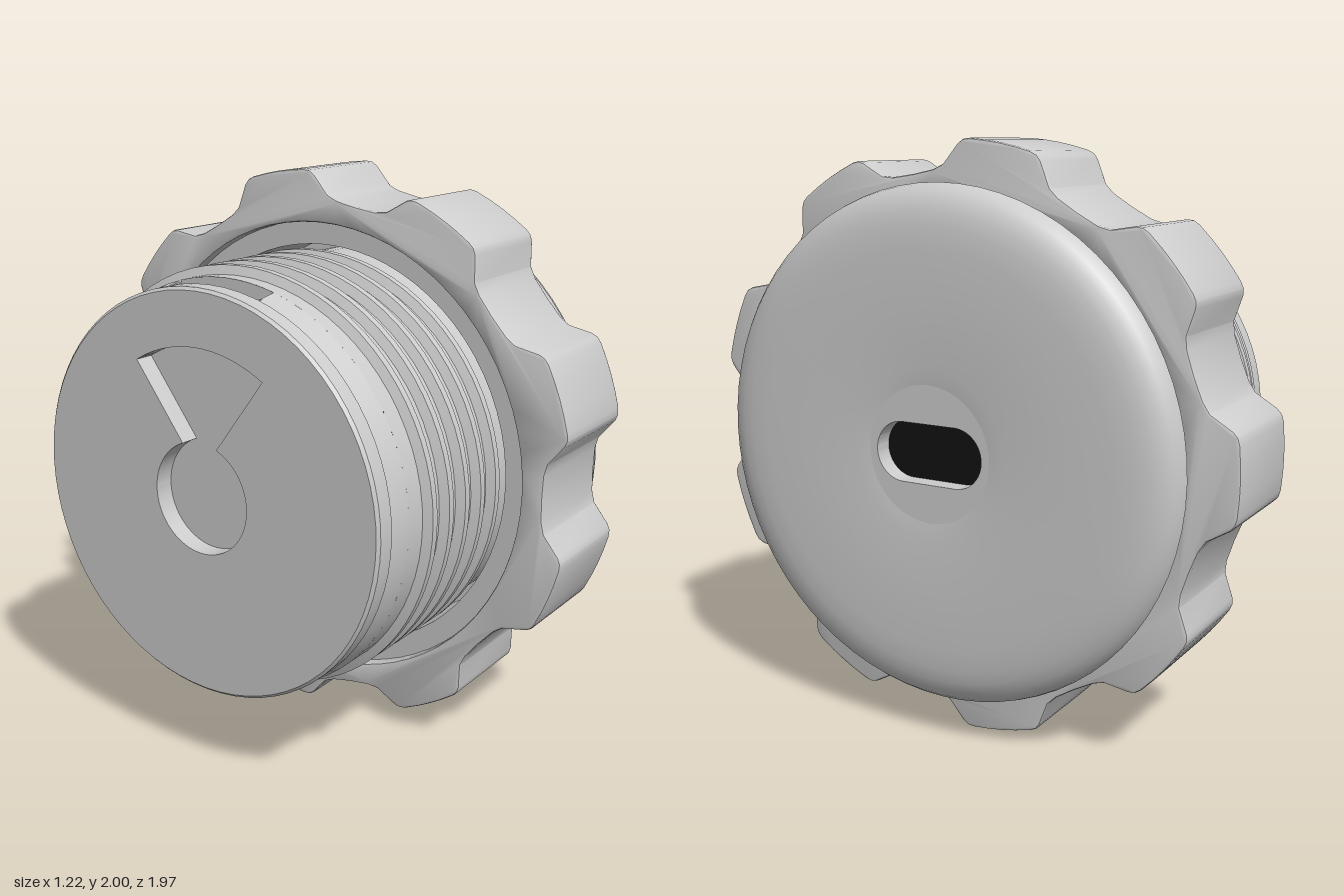
import * as THREE from 'three';
import { toCreasedNormals } from 'three/addons/utils/BufferGeometryUtils.js';

const grey = new THREE.MeshStandardMaterial({ color: 0xcccccc });
const dark = new THREE.MeshStandardMaterial({ color: 0x111111 });
const rad = THREE.MathUtils.degToRad;

// Turned part about the x axis; profile points are [x, radius]
function turned(points, start = 0, length = Math.PI * 2, segments = 72) {
  const profile = points.map(([x, r]) => new THREE.Vector2(r, x));
  const geo = new THREE.LatheGeometry(profile, segments, start, length);
  geo.rotateZ(-Math.PI / 2);
  return toCreasedNormals(geo, rad(28));
}

// Flat shape (drawn as seen from +x) extruded along x from x0 to x1
function plate(shape, x0, x1, bevel = 0) {
  const geo = new THREE.ExtrudeGeometry(shape, {
    depth: x1 - x0 - 2 * bevel, curveSegments: 36, bevelEnabled: bevel > 0,
    bevelThickness: bevel, bevelSize: bevel, bevelOffset: -bevel, bevelSegments: 2,
  });
  geo.rotateY(Math.PI / 2).translate(x0 + bevel, 0, 0);
  return toCreasedNormals(geo, rad(28));
}

const circle = (Type, r) => new Type().absarc(0, 0, r, 0, Math.PI * 2, false);

// Helical ridge with a trapezoid section, fading in and out at its ends
function threadGeometry(from, to, pitch, x0) {
  const section = [[-0.028, 0], [-0.013, 1], [0.013, 1], [0.028, 0]];
  const steps = Math.round((to - from) * 72);
  const pos = [], index = [];
  for (let i = 0; i <= steps; i++) {
    const turn = from + (to - from) * i / steps;
    const a = turn * Math.PI * 2;
    const fade = Math.min(1, i / 10, (steps - i) / 10);
    for (const [dx, h] of section) {
      const r = 0.695 + 0.035 * h * fade;
      pos.push(x0 + pitch * turn + dx, r * Math.cos(a), r * Math.sin(a));
    }
    if (i === steps) break;
    for (let j = 0; j < 3; j++) {
      const p = i * 4 + j;
      index.push(p, p + 4, p + 1, p + 4, p + 5, p + 1);
    }
  }
  const geo = new THREE.BufferGeometry();
  geo.setAttribute('position', new THREE.Float32BufferAttribute(pos, 3));
  geo.setIndex(index);
  return toCreasedNormals(geo, rad(28));
}

// Nine-lobed grip outline, one lobe pointing to the shape's +x
function gripShape() {
  const lobe = [[-15, 0.903], [-12.5, 0.918], [-9, 0.983], [-7.9, 0.996], [-6.5, 1], [-3, 1], [0, 1],
    [3, 1], [6.5, 1], [7.9, 0.996], [9, 0.983], [12.5, 0.918], [15, 0.903], [20, 0.897]];
  const pts = [];
  for (let i = 0; i < 9; i++) {
    for (const [deg, r] of lobe) {
      const a = rad(i * 40 + deg);
      pts.push(new THREE.Vector2(r * Math.cos(a), r * Math.sin(a)));
    }
  }
  const shape = new THREE.Shape(pts);
  shape.holes.push(circle(THREE.Path, 0.82));
  return shape;
}

export function createModel() {
  const model = new THREE.Group();
  model.name = 'threadedPlug';
  model.position.set(0, 1, 0.013);
  const add = (name, geo, mat = grey, parent = model) => {
    const mesh = new THREE.Mesh(geo, mat);
    mesh.name = name;
    parent.add(mesh);
    return mesh;
  };

  // Threaded barrel: end rim, band interrupted by a pocket on top, main tube
  const top = Math.PI * 1.5, half = 0.275;
  add('endRim', turned([[-0.61, 0.68], [-0.6, 0.69], [-0.54, 0.69]]));
  add('barrelBand', turned([[-0.54, 0.685], [-0.46, 0.7]], top + half, Math.PI * 2 - 2 * half, 66));
  add('latchPocket', turned([[-0.54, 0.69], [-0.54, 0.62], [-0.46, 0.62], [-0.46, 0.7]],
    top - half, 2 * half, 8));
  for (const side of [-1, 1]) {
    const holder = new THREE.Group();
    holder.name = 'pocketWall';
    holder.rotation.x = side * (half + 0.004);
    model.add(holder);
    add('pocketSide', new THREE.BoxGeometry(0.08, 0.07, 0.005), grey, holder).position.set(-0.5, 0.654, 0);
  }
  add('barrel', turned([[-0.46, 0.7], [0.51, 0.7]]));
  add('thread', threadGeometry(-4.6, 1, 0.1, 0.02));

  // End cap with a keyhole-shaped recess
  const cap = circle(THREE.Shape, 0.68);
  const key = new THREE.Path();
  const neck = Math.atan2(0.177, 0.07), fan = Math.atan2(0.43, 0.26);
  key.absarc(0, 0, 0.19, neck, Math.PI - neck, true);
  key.absarc(0, 0, 0.5, Math.PI - fan, fan, true);
  key.closePath();
  cap.holes.push(key);
  add('endCap', plate(cap, -0.61, -0.54));
  const floor = new THREE.CircleGeometry(0.6, 48);
  floor.rotateY(-Math.PI / 2).translate(-0.541, 0, 0);
  add('recessFloor', floor);

  // Lobed grip ring with a recessed inner sleeve
  add('gripRing', plate(gripShape(), 0.035, 0.435, 0.01));
  add('gripSleeve', turned([[0.42, 0.835], [0.42, 0.74], [0.08, 0.74], [0.08, 0.835]].reverse()
    .map(([x, r]) => [x, r]).reverse().concat([[0.42, 0.835]])).clone(),
  new THREE.MeshStandardMaterial({ color: 0xcccccc, side: THREE.DoubleSide }));

  // Gusset ribs between the ring and the domed disc
  const rib = new THREE.Shape([[0.42, 0.68], [0.52, 0.68], [0.52, 0.757], [0.42, 0.725]]
    .map(([x, y]) => new THREE.Vector2(x, y)));
  for (let i = 0; i < 4; i++) {
    const geo = new THREE.ExtrudeGeometry(rib, { depth: 0.07, bevelEnabled: false });
    geo.translate(0, 0, -0.035);
    add('rib', geo).rotation.x = i * Math.PI / 2;
  }

  // Domed front disc with a shallow dish and a slot
  add('frontDisc', turned([[0.51, 0.69], [0.51, 0.855], [0.515, 0.863], [0.535, 0.857], [0.558, 0.84],
    [0.578, 0.813], [0.592, 0.775], [0.6, 0.73], [0.605, 0.66], [0.605, 0.29], [0.598, 0.229]]));
  const centre = circle(THREE.Shape, 0.23);
  const slot = new THREE.Path();
  slot.absarc(0.1, 0, 0.1, -Math.PI / 2, Math.PI / 2, false);
  slot.absarc(-0.1, 0, 0.1, Math.PI / 2, Math.PI * 1.5, false);
  slot.closePath();
  centre.holes.push(slot);
  add('slotPlate', plate(centre, 0.53, 0.598));
  add('slotInterior', new THREE.BoxGeometry(0.04, 0.22, 0.42), dark).position.x = 0.515;

  return model;
}
